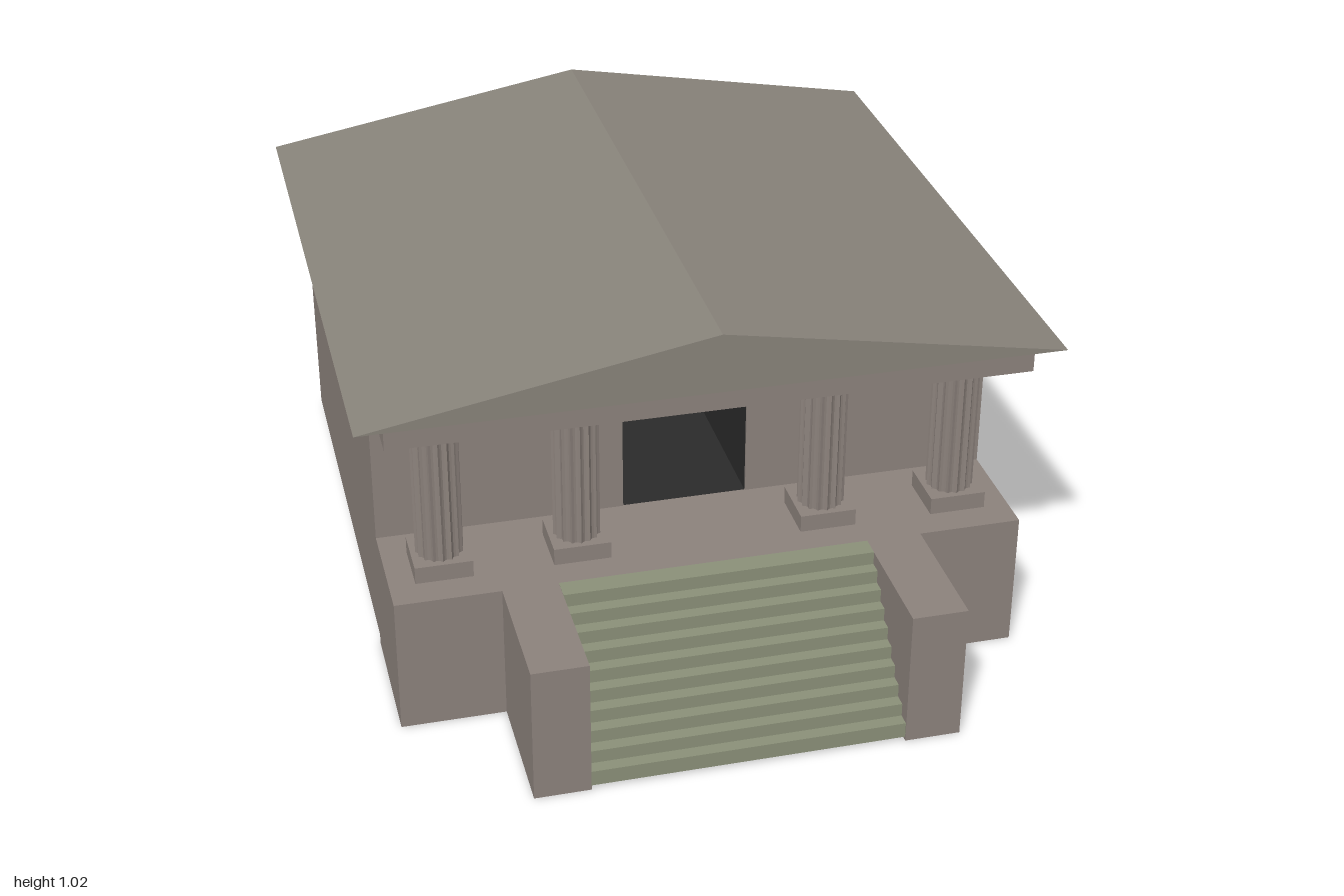
import * as THREE from 'three';

const mat = (color) => new THREE.MeshStandardMaterial({ color, flatShading: true });

export function createModel() {
  const model = new THREE.Group();
  const stone = mat(0x8c827c);
  const roofStone = mat(0x88837a);
  const stairStone = mat(0x8a9078);
  const dark = mat(0x2a2a2a);

  const add = (name, geometry, material, parent = model) => {
    const mesh = new THREE.Mesh(geometry, material);
    mesh.name = name;
    parent.add(mesh);
    return mesh;
  };
  // Box given by its limits on each axis
  const block = (name, [x0, x1], [y0, y1], [z0, z1], material = stone, parent = model) => {
    const mesh = add(name, new THREE.BoxGeometry(x1 - x0, y1 - y0, z1 - z0), material, parent);
    mesh.position.set((x0 + x1) / 2, (y0 + y1) / 2, (z0 + z1) / 2);
    return mesh;
  };
  const extrude = (shape, depth) =>
    new THREE.ExtrudeGeometry(shape, { depth, bevelEnabled: false });
  const polygon = (points) => new THREE.Shape(points.map(([x, y]) => new THREE.Vector2(x, y)));

  const floor = 0.365, wallTop = 0.87, half = 0.803;
  const wallFront = 0.343, wallBack = -0.98;
  const doorHalf = 0.163, doorTop = 0.703, doorDepth = 0.8;

  // Hall: front part pierced by the doorway, solid part behind
  const facade = polygon([[-half, 0.03], [half, 0.03], [half, wallTop], [-half, wallTop]]);
  facade.holes.push(polygon([
    [-doorHalf, floor], [-doorHalf, doorTop], [doorHalf, doorTop], [doorHalf, floor],
  ]));
  add('hall', extrude(facade, doorDepth), stone).position.z = wallFront - doorDepth;
  block('hallBack', [-half, half], [0.03, wallTop], [wallBack, wallFront - doorDepth]);

  // Dark lining of the doorway
  const doorway = new THREE.Group();
  doorway.name = 'doorway';
  model.add(doorway);
  const inset = 0.002, w = doorHalf - inset, h = doorTop - floor;
  const midY = (doorTop + floor) / 2, midZ = wallFront - doorDepth / 2;
  const lining = (name, width, height, position, rotation) => {
    const mesh = add(name, new THREE.PlaneGeometry(width, height), dark, doorway);
    mesh.position.set(...position);
    mesh.rotation.set(...rotation);
  };
  lining('doorwayBack', 2 * w, h, [0, midY, wallFront - doorDepth + inset], [0, 0, 0]);
  lining('doorwayFloor', 2 * w, doorDepth, [0, floor + inset, midZ], [-Math.PI / 2, 0, 0]);
  lining('doorwayCeiling', 2 * w, doorDepth, [0, doorTop - inset, midZ], [Math.PI / 2, 0, 0]);
  for (const s of [-1, 1])
    lining('doorwaySide', doorDepth, h, [s * w, midY, midZ], [0, -s * Math.PI / 2, 0]);

  // Porch floor and the beam above the columns
  block('porch', [-half, half], [0, floor], [0.285, 0.65]);
  block('entablature', [-half, half], [0.803, wallTop], [wallFront, 0.655]);

  // Gabled roof
  const gable = polygon([[-0.875, wallTop], [0.875, wallTop], [0, 1.025]]);
  add('roof', extrude(gable, 1.688), roofStone).position.z = -1;

  // Staircase as one stepped profile, drawn in z and y
  const steps = 10, bottom = 0.01, front = 0.997, back = 0.65;
  const tread = 0.0325, rise = 0.035, stairTop = floor + 0.001;
  const profile = [[back, bottom], [front, bottom]];
  for (let i = 0; i < steps; i++) {
    const y = stairTop - (steps - 1 - i) * rise;
    profile.push([front - i * tread, y]);
    profile.push([i === steps - 1 ? back : front - (i + 1) * tread, y]);
  }
  const stairs = add('stairs', extrude(polygon(profile), 0.792), stairStone);
  stairs.rotation.y = -Math.PI / 2; // profile x becomes z, depth becomes -x
  stairs.position.x = 0.396;

  // Walls beside the stairs
  for (const s of [-1, 1])
    block('stairWall', s < 0 ? [-0.537, -0.396] : [0.396, 0.537], [0, floor], [0.65, 1]);

  // Fluted columns on square plinths
  const flutes = 16, perFlute = 4, ring = [];
  for (let i = 0; i < flutes * perFlute; i++) {
    const a = (i / (flutes * perFlute)) * Math.PI * 2;
    const r = 0.06 - 0.007 * Math.sin((Math.PI * (i % perFlute)) / perFlute);
    ring.push([r * Math.cos(a), r * Math.sin(a)]);
  }
  const shaftGeometry = extrude(polygon(ring), 0.365);
  shaftGeometry.rotateX(-Math.PI / 2);
  const p = 0.0725;
  for (const x of [-0.665, -0.318, 0.318, 0.665]) {
    const column = new THREE.Group();
    column.name = 'column';
    column.position.set(x, 0, 0.497);
    model.add(column);
    block('columnBase', [-p, p], [floor, 0.41], [-p, p], stone, column);
    add('columnShaft', shaftGeometry, stone, column).position.y = 0.408;
    block('columnCapital', [-p, p], [0.772, 0.804], [-p, p], stone, column);
  }
  return model;
}
